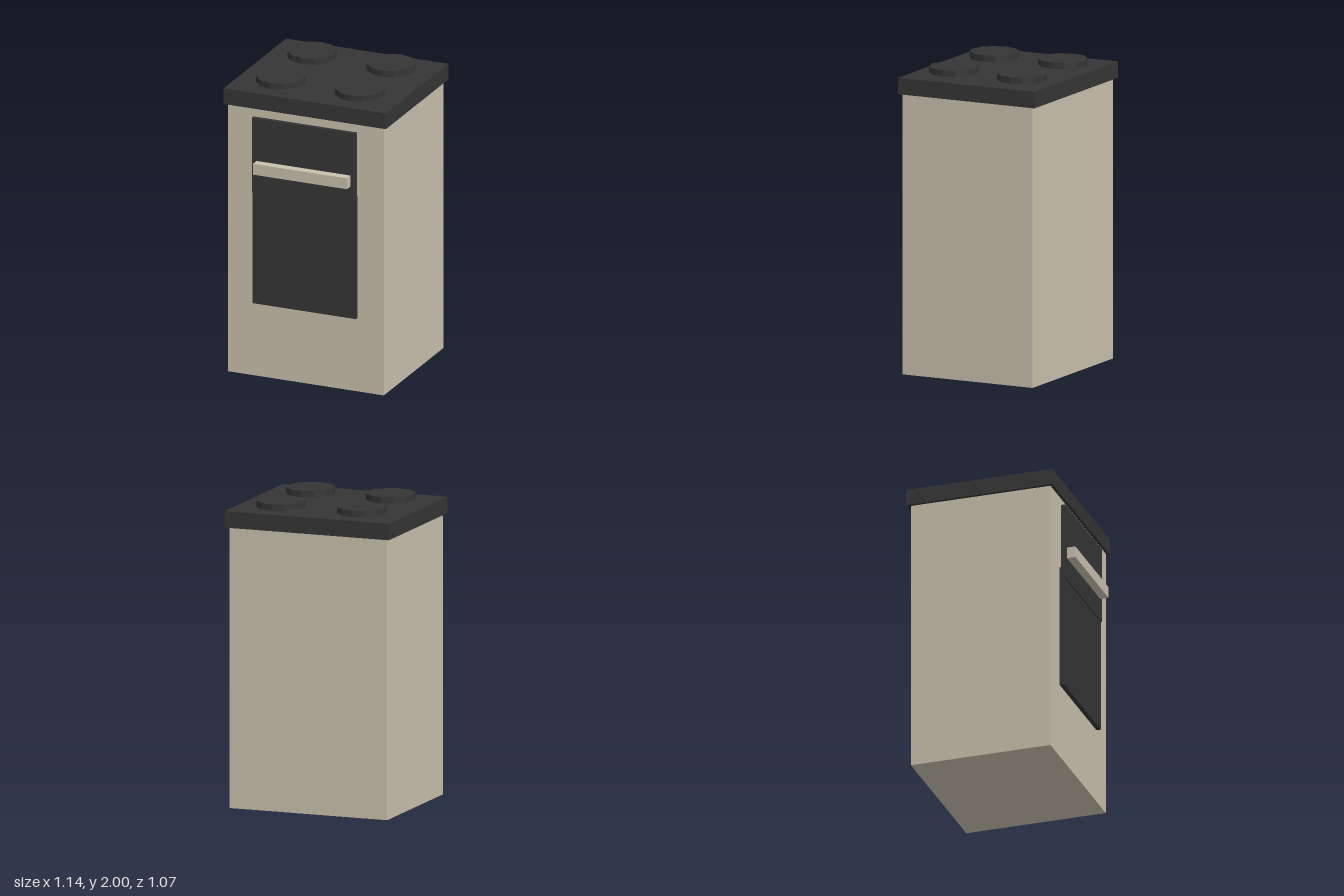
import * as THREE from 'three';

export function createModel() {
  const group = new THREE.Group();
  const beige = new THREE.MeshStandardMaterial({ color: 0xc9c0ac });
  beige.name = 'beige enamel';
  const black = new THREE.MeshStandardMaterial({ color: 0x353535 });
  black.name = 'black';

  const add = (name, geometry, material, x, y, z) => {
    const mesh = new THREE.Mesh(geometry, material);
    mesh.name = name;
    mesh.position.set(x, y, z);
    group.add(mesh);
  };

  // Box given by its extents on each axis
  const box = (name, material, [x0, x1], [y0, y1], [z0, z1]) =>
    add(name, new THREE.BoxGeometry(x1 - x0, y1 - y0, z1 - z0), material,
      (x0 + x1) / 2, (y0 + y1) / 2, (z0 + z1) / 2);

  box('body', beige, [-0.55, 0.547], [0, 1.842], [-0.51, 0.44]);
  box('cooktop', black, [-0.572, 0.57], [1.842, 1.95], [-0.535, 0.46]);

  // Oven door: lower panel and overlapping upper panel
  box('lowerDoor', black, [-0.366, 0.363], [0.507, 1.343], [0.44, 0.47]);
  box('upperDoor', black, [-0.366, 0.362], [1.27, 1.785], [0.45, 0.478]);
  box('doorHandle', beige, [-0.332, 0.329], [1.418, 1.493], [0.476, 0.535]);

  // Four twelve-sided hot plates, just clear of the cooktop
  const plate = new THREE.CylinderGeometry(0.16, 0.16, 0.042, 12).toNonIndexed();
  plate.computeVertexNormals();
  for (const x of [-0.28, 0.277])
    for (const z of [-0.288, 0.211])
      add('hotPlate', plate, black, x, 1.979, z);

  return group;
}
